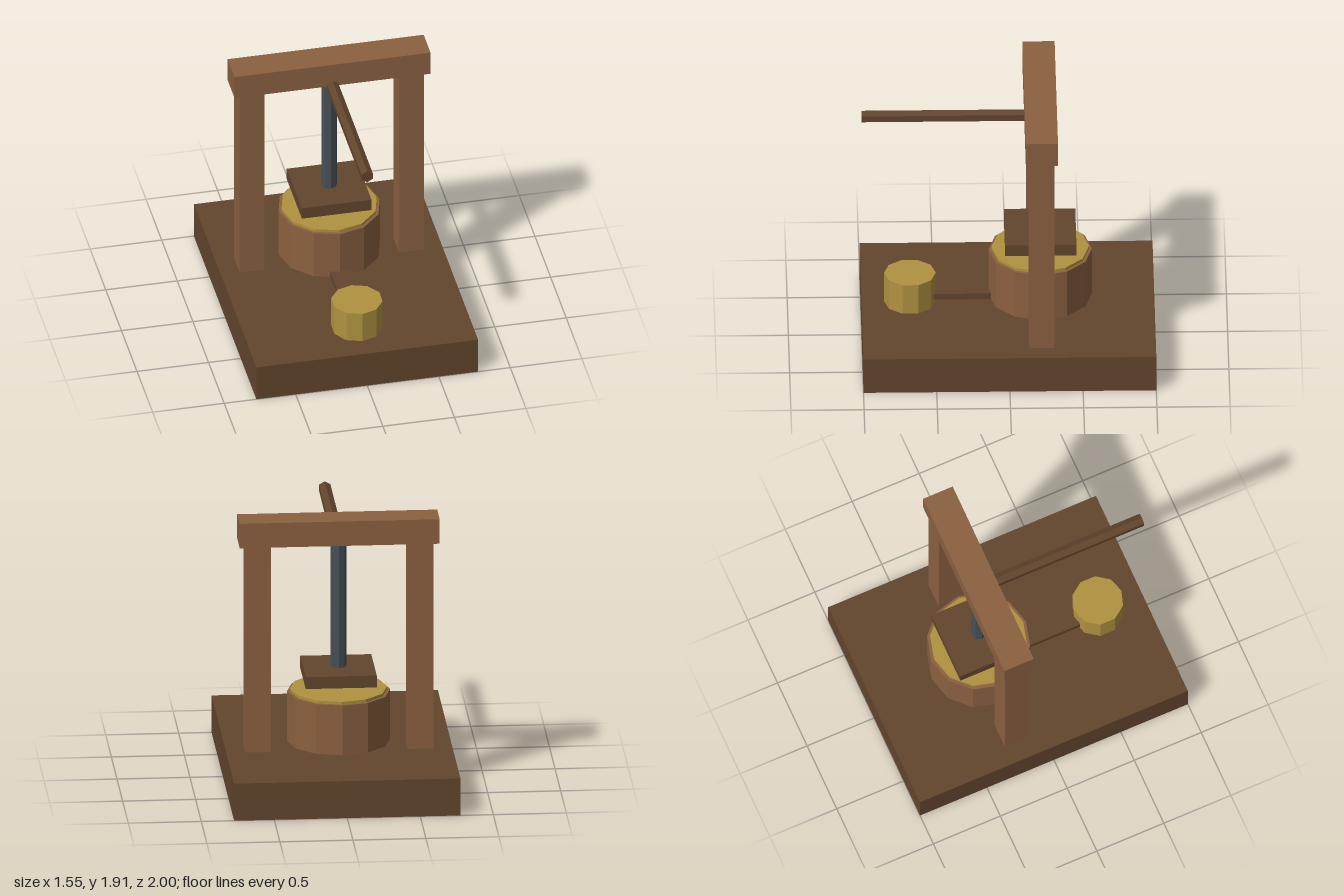
import * as THREE from 'three';

export function createModel() {
  const model = new THREE.Group();
  model.name = 'screwPress';

  const material = (name, color) => {
    const m = new THREE.MeshStandardMaterial({ color, flatShading: true });
    m.name = name;
    return m;
  };
  const darkWood = material('darkWood', 0x62452d);
  const lightWood = material('lightWood', 0x8b6040);
  const straw = material('straw', 0xb09240);
  const iron = material('iron', 0x465056);

  const add = (name, geometry, mat, x, y, z) => {
    const mesh = new THREE.Mesh(geometry, mat);
    mesh.name = name;
    mesh.position.set(x, y, z);
    model.add(mesh);
    return mesh;
  };
  // Boxes and drums are placed by their bottom height
  const box = (name, mat, w, h, d, bottom, z, x = 0) =>
    add(name, new THREE.BoxGeometry(w, h, d), mat, x, bottom + h / 2, z);
  const drum = (name, mat, r, h, sides, bottom, z) =>
    add(name, new THREE.CylinderGeometry(r, r, h, sides), mat, 0, bottom + h / 2, z);

  const axis = -0.22; // z of the frame and the screw

  // Bed and frame
  box('base', darkWood, 1.55, 0.265, 2, 0, 0);
  box('leftPost', lightWood, 0.175, 1.475, 0.175, 0.265, axis, 0.557);
  box('rightPost', lightWood, 0.175, 1.475, 0.175, 0.265, axis, -0.557);
  box('crossBeam', lightWood, 1.37, 0.175, 0.22, 1.737, axis);

  // Screw, pressing plate and turning lever
  drum('screw', iron, 0.055, 0.93, 8, 0.84, axis);
  box('pressPlate', darkWood, 0.487, 0.085, 0.487, 0.76, axis);
  const lever = add('lever', new THREE.CylinderGeometry(0.045, 0.045, 1.22, 6), darkWood, 0, 1.735, 0.39);
  lever.rotation.x = Math.PI / 2;

  // Tub with its filling
  drum('tub', lightWood, 0.354, 0.355, 12, 0.315, axis);
  drum('filling', straw, 0.333, 0.3, 12, 0.39, axis);

  // Spout and collecting bucket
  box('spout', darkWood, 0.133, 0.044, 0.42, 0.314, 0.3);
  drum('bucket', straw, 0.177, 0.225, 10, 0.265, 0.67);

  return model;
}
